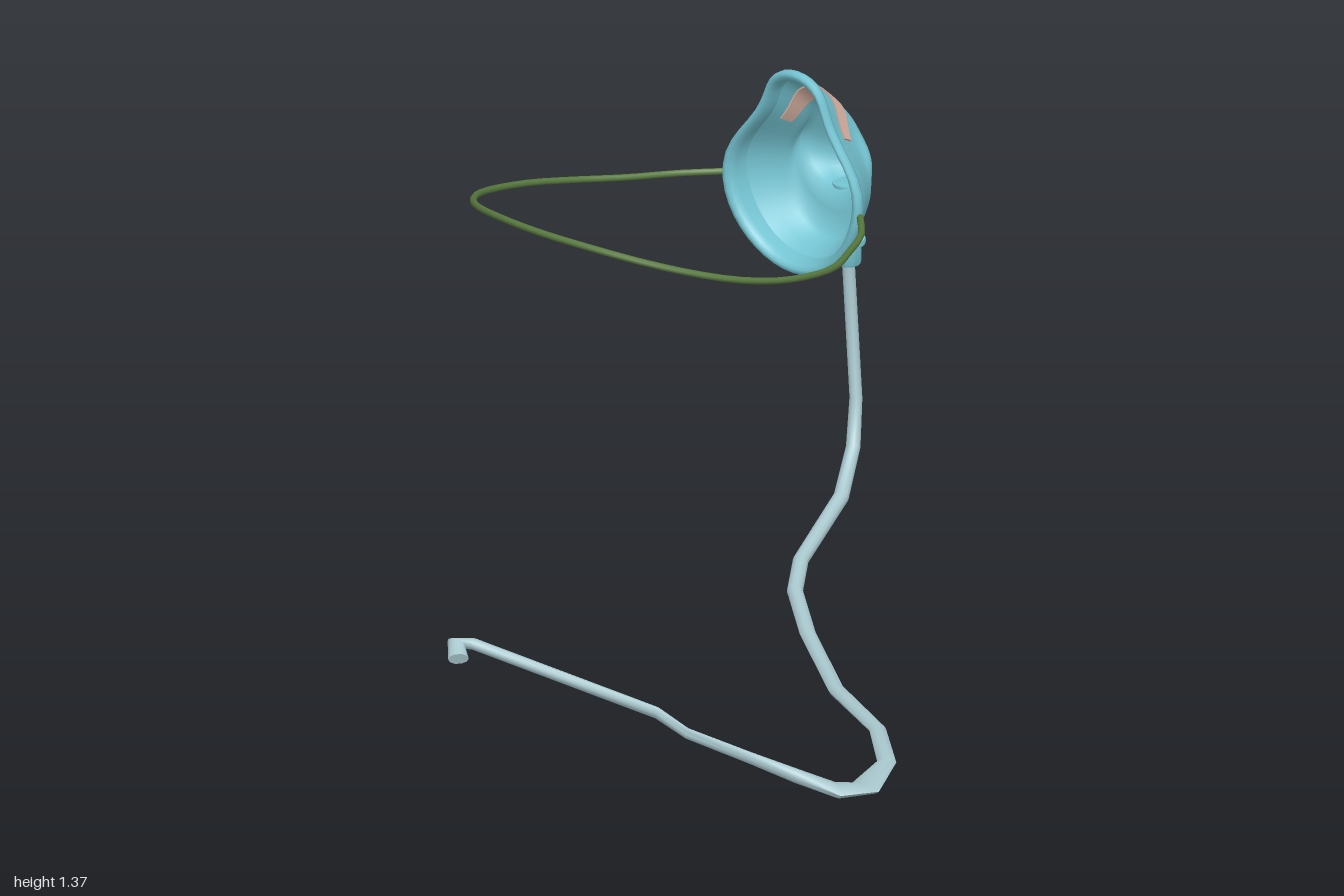
import * as THREE from 'three';
import { toCreasedNormals } from 'three/addons/utils/BufferGeometryUtils.js';

const CX = -0.405; // centre line of the mask
const material = (name, color) =>
  new THREE.MeshStandardMaterial({ name, color, side: THREE.DoubleSide });

// Skin a list of closed rings (arrays of Vector3), optionally capping the ends
function loft(rings, { capStart = false, capEnd = false, crease = 0.7 } = {}) {
  const n = rings[0].length, pos = [], index = [];
  rings.forEach(r => r.forEach(p => pos.push(p.x, p.y, p.z)));
  for (let i = 0; i < rings.length - 1; i++) {
    for (let j = 0; j < n; j++) {
      const a = i * n + j, b = i * n + (j + 1) % n;
      index.push(a, b, a + n, b, b + n, a + n);
    }
  }
  const cap = (i, flip) => {
    const c = new THREE.Vector3();
    rings[i].forEach(p => c.addScaledVector(p, 1 / n));
    const k = pos.length / 3;
    pos.push(c.x, c.y, c.z);
    for (let j = 0; j < n; j++) {
      const a = i * n + j, b = i * n + (j + 1) % n;
      index.push(...(flip ? [k, b, a] : [k, a, b]));
    }
  };
  if (capStart) cap(0, true);
  if (capEnd) cap(rings.length - 1, false);
  const g = new THREE.BufferGeometry();
  g.setAttribute('position', new THREE.Float32BufferAttribute(pos, 3));
  g.setIndex(index);
  g.computeVertexNormals();
  return crease ? toCreasedNormals(g, crease) : g;
}

// Mask stations from rim to nose: z, top y, bottom y, half width
const STATIONS = [
  [-0.728, 1.362, 0.808, 0.224], [-0.755, 1.345, 0.822, 0.208],
  [-0.8, 1.307, 0.84, 0.178], [-0.845, 1.265, 0.851, 0.152],
  [-0.862, 1.25, 0.865, 0.143], [-0.874, 1.238, 0.92, 0.135],
  [-0.886, 1.222, 0.972, 0.126], [-0.9, 1.203, 0.98, 0.113],
  [-0.93, 1.163, 0.981, 0.086], [-0.965, 1.117, 0.983, 0.056],
  [-0.988, 1.085, 0.992, 0.034], [-1.0, 1.055, 1.01, 0.014],
];

// Teardrop outline: angle 0 is the chin, PI is the bridge of the nose
function outlinePoint(phi, [z, top, bottom, half], pinch = 1, bow = 0) {
  const u = 0.5 - 0.5 * Math.cos(phi);
  const dip = 0.42 * Math.exp(-(((u - 0.82) / 0.24) ** 2));
  const width = Math.sin(phi) * (1 + pinch * (0.04 - dip));
  return new THREE.Vector3(CX + half * width, bottom + (top - bottom) * u,
    z + bow * Math.exp(-(((u - 0.28) / 0.3) ** 2)));
}
const pinchAt = z => THREE.MathUtils.clamp((z + 1) / 0.2, 0, 1);
const ring = (station, pinch, bow, n = 48) => Array.from({ length: n },
  (_, j) => outlinePoint(j / n * Math.PI * 2, station, pinch, bow));

// Point on the mask at a depth, raised outward by lift
function maskPoint(phi, z, lift) {
  const i = Math.max(1, STATIONS.findIndex(s => s[0] <= z));
  const a = STATIONS[i - 1], b = STATIONS[i];
  const t = (z - a[0]) / (b[0] - a[0]);
  const [, top, bottom, half] = a.map((v, k) => v + (b[k] - v) * t);
  return outlinePoint(phi, [z, top + lift, bottom - lift, half + lift], pinchAt(z));
}

export function createModel() {
  const model = new THREE.Group();
  model.name = 'breathingMask';
  const teal = material('maskTeal', 0x74c3d1);
  const pale = material('tubePaleBlue', 0xa9c8ce);
  const green = material('strapGreen', 0x58793f);
  const pink = material('clipPink', 0xdcb5a6);
  const add = (name, geometry, mat) => {
    const mesh = new THREE.Mesh(geometry, mat);
    mesh.name = name;
    model.add(mesh);
    return mesh;
  };

  // Cup with a stepped nose
  add('maskShell', loft(STATIONS.map((s, i) => ring(s, pinchAt(s[0]), i ? 0 : 0.01)),
    { capEnd: true, crease: 0.9 }), teal);

  // Rolled rim: z and inset from the outer outline
  const lip = [[-0.738, -0.026], [-0.734, -0.006], [-0.725, 0], [-0.711, 0],
    [-0.704, -0.006], [-0.704, -0.016], [-0.712, -0.026], [-0.73, -0.033], [-0.755, -0.035]];
  add('maskRim', loft(lip.map(([z, d], i) =>
    ring([z, 1.378 + d, 0.793 - d, 0.24 + d], 1, i === 8 ? 0 : 0.018)), { crease: 0 }), teal);

  // Clip bent over the bridge of the nose
  const clip = [];
  for (let i = 0; i <= 24; i++) {
    const s = i / 12 - 1, phi = Math.PI + s * 1.09;
    const front = -0.8 + 0.015 * s * s, back = -0.855 + 0.035 * s * s;
    const mid = (front + back) / 2;
    clip.push([[front, -0.004], [front, 0.007], [mid, 0.008], [back, 0.007], [back, -0.004]]
      .map(([z, lift]) => maskPoint(phi, z, lift)));
  }
  add('noseClip', loft(clip, { capStart: true, capEnd: true }), pink);

  // Elastic head strap, mirrored about the mask centre
  const side = [[0.24, 1.025, -0.7], [0.32, 1.027, -0.61], [0.39, 1.04, -0.475],
    [0.455, 1.06, -0.34], [0.487, 1.09, -0.2], [0.487, 1.122, -0.06], [0.455, 1.155, 0.06],
    [0.39, 1.19, 0.165], [0.29, 1.228, 0.263], [0.15, 1.255, 0.328]];
  const strapPoints = [...side, [0, 1.263, 0.35],
    ...side.map(([x, y, z]) => [-x, y, z]).reverse()]
    .map(([x, y, z]) => new THREE.Vector3(CX + x, y, z));
  add('headStrap', new THREE.TubeGeometry(
    new THREE.CatmullRomCurve3(strapPoints), 48, 0.0095, 8), green);

  // Turned connectors under the nose
  const turned = (name, profile) => {
    const g = new THREE.LatheGeometry(profile.map(p => new THREE.Vector2(...p)), 24);
    add(name, toCreasedNormals(g, 0.7), teal).position.set(CX, 0, -0.936);
  };
  turned('noseSocket', [[0, 0.918], [0.032, 0.918], [0.037, 0.925], [0.039, 0.955],
    [0.045, 0.96], [0.045, 0.985], [0, 0.99]]);
  turned('hoseCoupling', [[0, 0.745], [0.032, 0.745], [0.035, 0.752], [0.035, 0.798],
    [0.046, 0.804], [0.048, 0.812], [0.046, 0.82], [0.036, 0.826], [0.036, 0.872],
    [0.03, 0.884], [0, 0.884]]);

  // Hose: x, y, z, half width, half height
  const path = [
    [-0.405, 0.93, -0.936, 0.02, 0.02], [-0.405, 0.75, -0.936, 0.018, 0.018],
    [-0.375, 0.36, -0.932, 0.018, 0.018], [-0.345, 0.24, -0.885, 0.02, 0.02],
    [-0.278, 0.155, -0.755, 0.022, 0.02], [-0.18, 0.092, -0.47, 0.022, 0.018],
    [-0.095, 0.068, -0.345, 0.022, 0.017], [0.085, 0.047, -0.185, 0.022, 0.016],
    [0.35, 0.021, 0.01, 0.022, 0.016], [0.65, 0.052, 0.195, 0.023, 0.012],
    [0.8, 0.045, 0.335, 0.026, 0.012], [0.853, 0.036, 0.49, 0.046, 0.012],
    [0.825, 0.05, 0.575, 0.042, 0.018], [0.75, 0.095, 0.65, 0.016, 0.02],
    [0.62, 0.125, 0.69, 0.01, 0.017], [0.42, 0.15, 0.717, 0.008, 0.016],
    [0.325, 0.188, 0.73, 0.009, 0.017], [-0.18, 0.303, 0.895, 0.016, 0.016],
    [-0.215, 0.305, 0.925, 0.028, 0.016], [-0.172, 0.285, 0.967, 0.028, 0.018],
  ];
  const points = path.map(p => new THREE.Vector3(p[0], p[1], p[2]));
  const rings = path.map(([, , , a, b], i) => {
    const t = points[Math.min(i + 1, points.length - 1)].clone()
      .sub(points[Math.max(i - 1, 0)]).normalize();
    const across = Math.hypot(t.x, t.z) < 0.2
      ? new THREE.Vector3(-0.9, 0, 0.43) : new THREE.Vector3(-t.z, 0, t.x);
    across.normalize();
    const up = across.clone().cross(t).normalize();
    return Array.from({ length: 10 }, (_, j) => {
      const w = j / 10 * Math.PI * 2;
      return points[i].clone().addScaledVector(across, a * Math.cos(w))
        .addScaledVector(up, b * Math.sin(w));
    });
  });
  add('hose', loft(rings, { capStart: true, capEnd: true, crease: 0.8 }), pale);

  return model;
}
